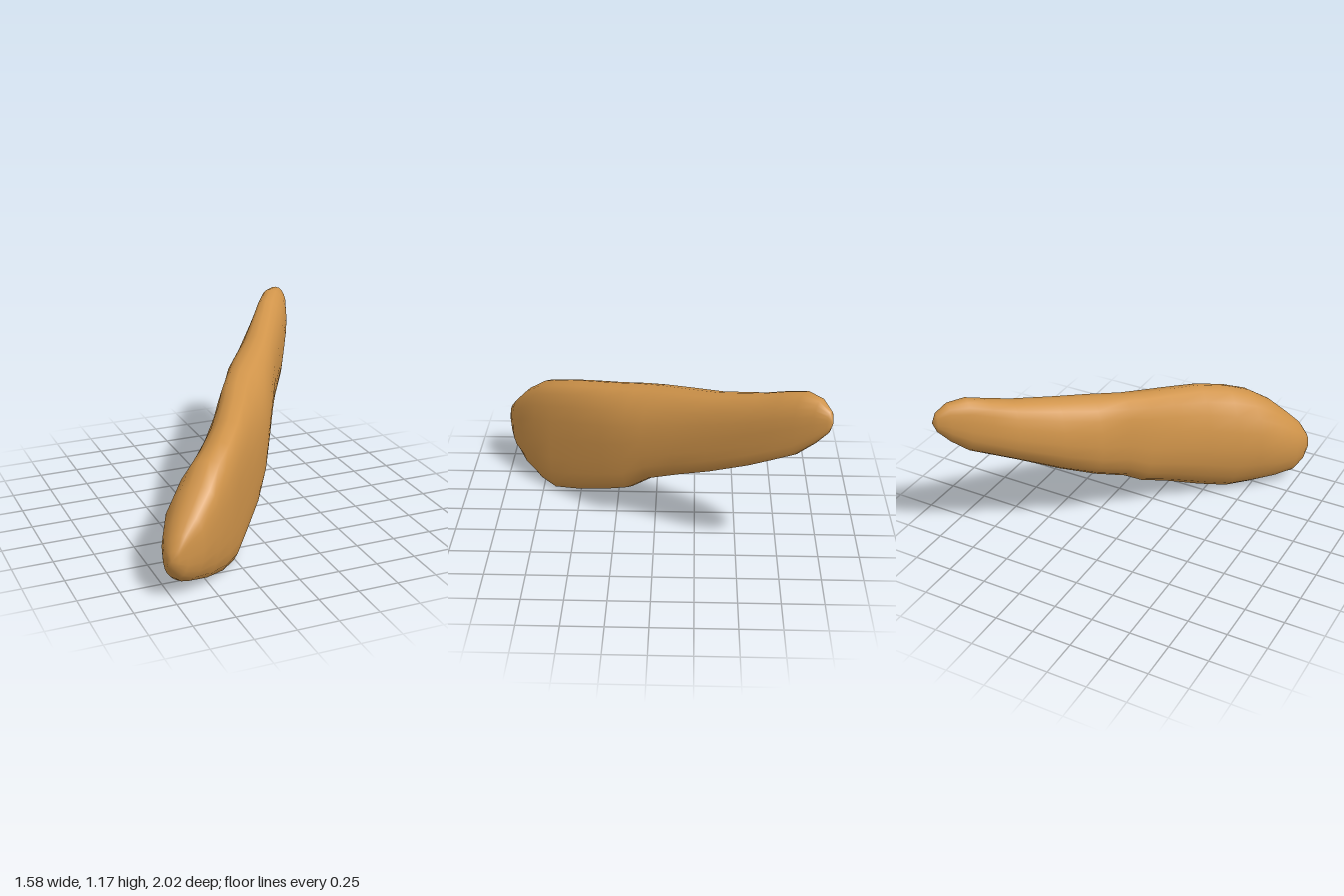
import * as THREE from 'three';

// Cross-sections along the length:
// [distance, bottom y, top y, bottom offset, top offset, back side, front side]
const SECTIONS = [
  [-1.255, 0.22, 0.33, -0.03, 0.0, -0.05, 0.02],
  [-1.21, 0.14, 0.41, -0.02, 0.02, -0.09, 0.06],
  [-1.13, 0.08, 0.49, -0.01, 0.04, -0.12, 0.125],
  [-1.0, 0.04, 0.61, 0.05, 0.07, -0.145, 0.175],
  [-0.85, 0.01, 0.71, 0.1, 0.08, -0.125, 0.21],
  [-0.7, 0.0, 0.765, 0.13, 0.1, -0.1, 0.22],
  [-0.5, 0.06, 0.82, 0.14, 0.1, -0.078, 0.23],
  [-0.26, 0.15, 0.865, 0.15, 0.07, -0.076, 0.24],
  [-0.08, 0.22, 0.9, 0.13, 0.04, -0.088, 0.24],
  [0.06, 0.32, 0.925, 0.09, 0.025, -0.09, 0.228],
  [0.27, 0.41, 0.965, 0.065, 0.03, -0.125, 0.195],
  [0.5, 0.51, 1.01, 0.07, 0.03, -0.115, 0.16],
  [0.78, 0.65, 1.08, 0.08, 0.005, -0.1, 0.135],
  [0.93, 0.73, 1.13, 0.065, -0.01, -0.09, 0.12],
  [1.06, 0.8, 1.17, 0.05, -0.01, -0.08, 0.105],
  [1.17, 0.9, 1.16, 0.03, 0.0, -0.055, 0.075],
  [1.24, 0.98, 1.11, 0.025, 0.01, -0.02, 0.045],
];
const SIDES = 20;

// The body runs diagonally from front right to back left
const place = (u, v, y) => [0.6 * u + 0.8 * v, y, -0.8 * u + 0.6 * v];
const power = (t, p) => Math.sign(t) * Math.abs(t) ** p;

function bodyGeometry() {
  const positions = [];
  const index = [];

  // Rounded oval rings, leaning towards their top and bottom ridges
  for (const [u, yBottom, yTop, vBottom, vTop, vBack, vFront] of SECTIONS) {
    const mid = (vBack + vFront) / 2;
    const half = (vFront - vBack) / 2;
    for (let j = 0; j < SIDES; j++) {
      const a = (j / SIDES) * Math.PI * 2;
      const s = Math.sin(a);
      const lean = ((s > 0 ? vTop : vBottom) - mid) * s * s;
      const v = mid + half * power(Math.cos(a), 0.85) + lean;
      const y = (yBottom + yTop) / 2 + ((yTop - yBottom) / 2) * power(s, 0.92);
      positions.push(...place(u, v, y));
    }
  }

  // Skin between the rings
  const last = SECTIONS.length - 1;
  for (let i = 0; i < last; i++) {
    for (let j = 0; j < SIDES; j++) {
      const k = (j + 1) % SIDES;
      const a = i * SIDES;
      const b = a + SIDES;
      index.push(a + j, b + j, b + k, a + j, b + k, a + k);
    }
  }

  // Closed tips
  const startTip = positions.length / 3;
  positions.push(...place(-1.265, -0.02, 0.27), ...place(1.265, 0.02, 1.045));
  for (let j = 0; j < SIDES; j++) {
    const k = (j + 1) % SIDES;
    index.push(startTip, j, k);
    index.push(startTip + 1, last * SIDES + k, last * SIDES + j);
  }

  const geometry = new THREE.BufferGeometry();
  geometry.setAttribute('position', new THREE.Float32BufferAttribute(positions, 3));
  geometry.setIndex(index);
  geometry.computeVertexNormals();
  return geometry;
}

export function createModel() {
  const group = new THREE.Group();
  group.name = 'model';
  const tan = new THREE.MeshStandardMaterial({ color: 0xd0944a });
  tan.name = 'golden tan';
  const body = new THREE.Mesh(bodyGeometry(), tan);
  body.name = 'body';
  group.add(body);
  return group;
}
